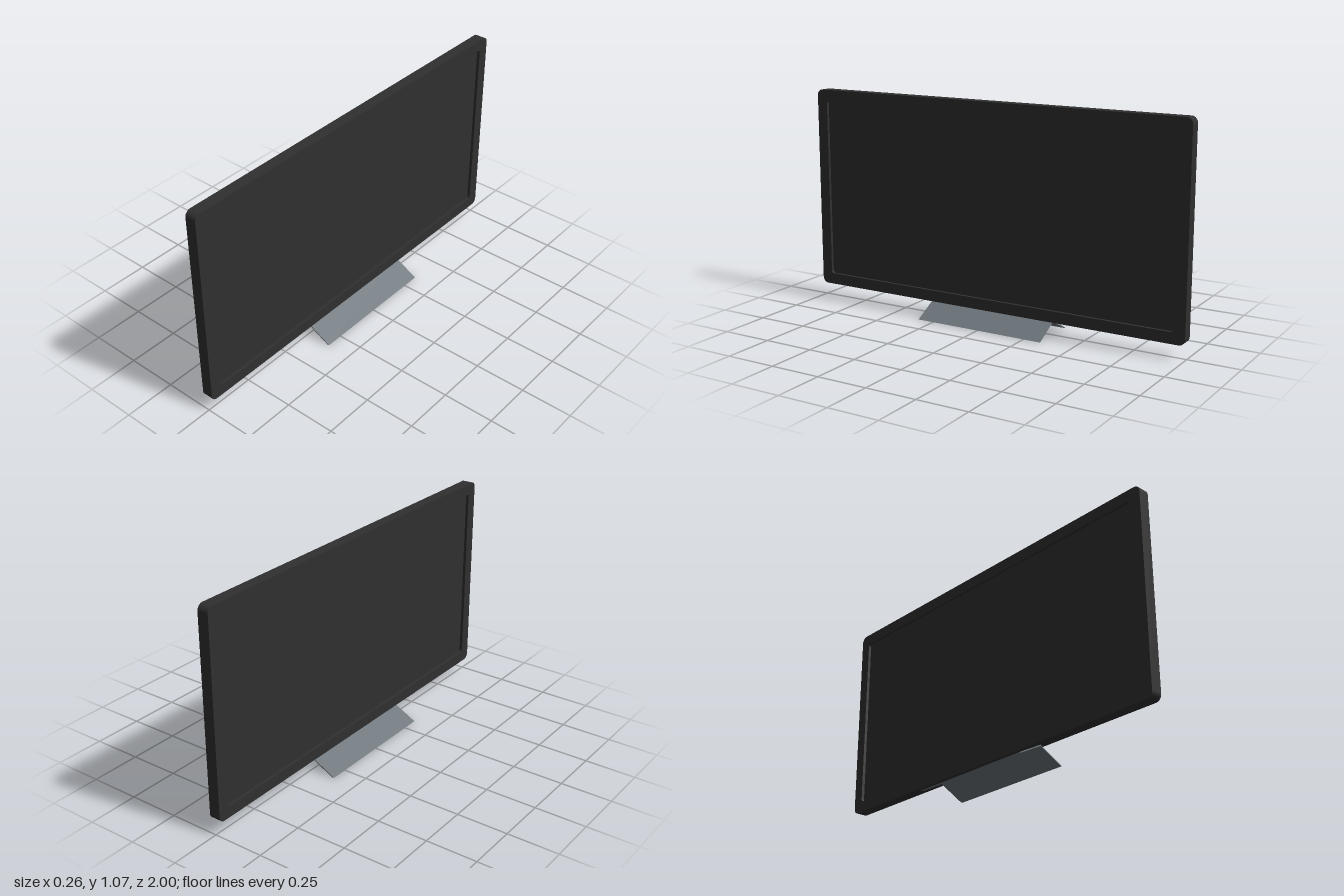
import * as THREE from 'three';

// Rounded rectangle centred on the origin
function roundedRect(path, w, h, r) {
  const x = w / 2, y = h / 2;
  path.moveTo(-x + r, -y);
  path.lineTo(x - r, -y);
  path.absarc(x - r, -y + r, r, -Math.PI / 2, 0);
  path.lineTo(x, y - r);
  path.absarc(x - r, y - r, r, 0, Math.PI / 2);
  path.lineTo(-x + r, y);
  path.absarc(-x + r, y - r, r, Math.PI / 2, Math.PI);
  path.lineTo(-x, -y + r);
  path.absarc(-x + r, -y + r, r, Math.PI, Math.PI * 1.5);
  return path;
}

// Extrusion centred on its depth
function slab(shape, depth) {
  return new THREE.ExtrudeGeometry(shape, { depth, bevelEnabled: false, curveSegments: 8 })
    .translate(0, 0, -depth / 2);
}

export function createModel() {
  const model = new THREE.Group();
  const casing = new THREE.MeshStandardMaterial({ color: 0x303030 });
  casing.name = 'charcoal casing';
  const metal = new THREE.MeshStandardMaterial({ color: 0x6e767c });
  metal.name = 'grey metal';

  const add = (name, geometry, material) => {
    const mesh = new THREE.Mesh(geometry, material);
    mesh.name = name;
    model.add(mesh);
  };
  const midY = 0.57;

  // Bezel: rounded frame with an opening, turned so its faces look along x
  const outline = roundedRect(new THREE.Shape(), 2, 1.004, 0.03);
  outline.holes.push(roundedRect(new THREE.Path(), 1.888, 0.894, 0.014));
  add('bezel', slab(outline, 0.055).rotateY(Math.PI / 2).translate(0, midY, 0), casing);

  // Screen panel, recessed on both faces
  const panel = roundedRect(new THREE.Shape(), 1.888, 0.894, 0.014);
  add('screen', slab(panel, 0.025).rotateY(Math.PI / 2).translate(0, midY, 0), casing);

  // Stand: thin folded sheet resting on its two lower edges
  const fold = new THREE.Shape([
    [-0.129, 0], [-0.118, 0], [0, 0.062], [0.118, 0], [0.129, 0], [0, 0.068],
  ].map(([x, y]) => new THREE.Vector2(x, y)));
  add('stand', slab(fold, 0.67), metal);

  return model;
}
